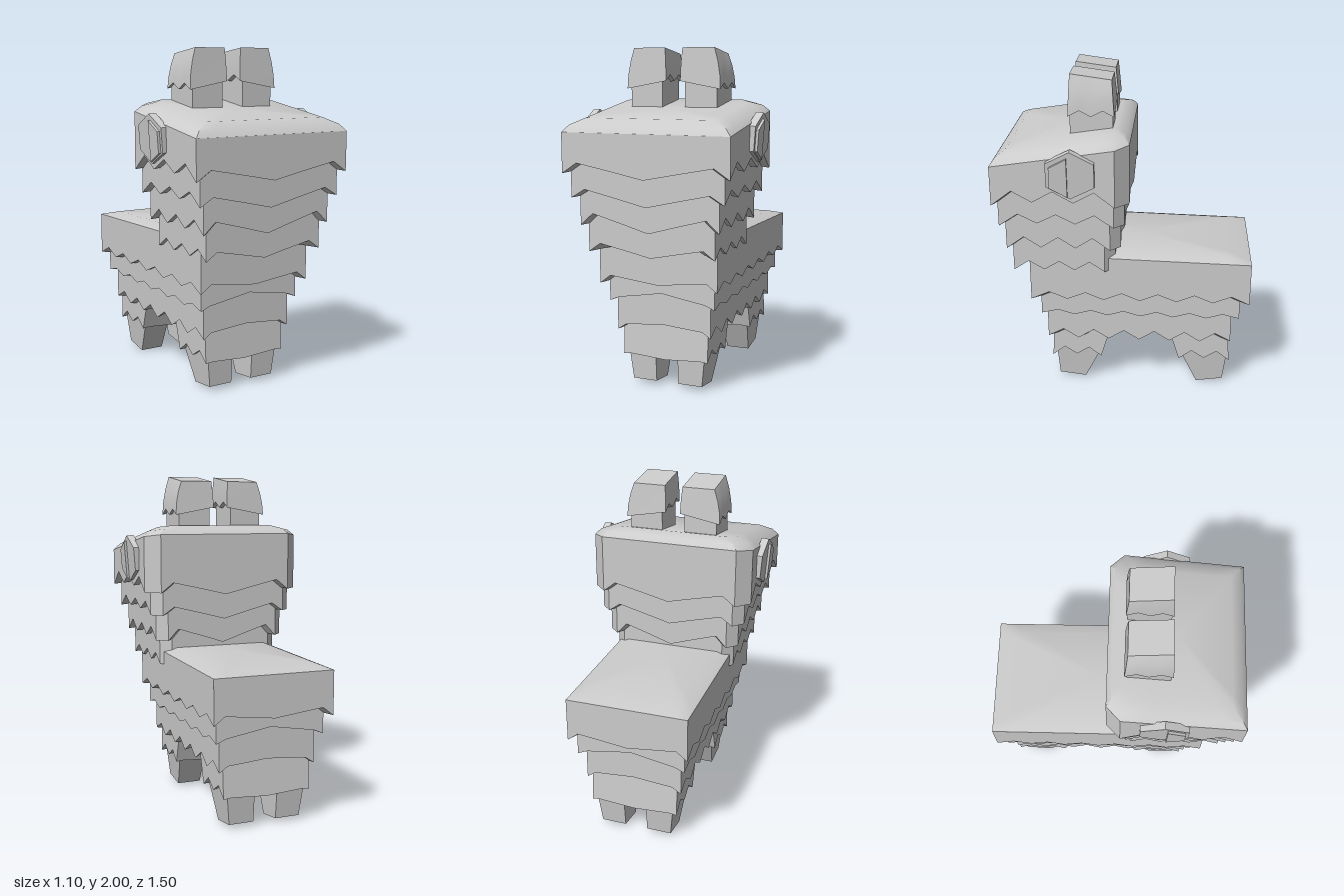
import * as THREE from 'three';
import { toCreasedNormals } from 'three/addons/utils/BufferGeometryUtils.js';

const material = new THREE.MeshStandardMaterial({ color: 0xcccccc });

function addMesh(parent, name, geometry) {
  const mesh = new THREE.Mesh(geometry, material);
  mesh.name = name;
  parent.add(mesh);
  return mesh;
}

// Box whose vertices are moved by rule(u, v, s), each running 0..1 along x, y, z.
function shapedBox(rule, sx = 1, sy = 1, sz = 1) {
  const g = new THREE.BoxGeometry(1, 1, 1, sx, sy, sz);
  const p = g.attributes.position;
  for (let i = 0; i < p.count; i++) {
    p.setXYZ(i, ...rule(p.getX(i) + 0.5, p.getY(i) + 0.5, p.getZ(i) + 0.5));
  }
  return toCreasedNormals(g, 0.5);
}

const lerp = THREE.MathUtils.lerp;

// One paper fringe: a boxy shell with a wavy front and back hem and zigzag side hems.
function fringe({ w, z, bottomZ = z, top, hem, side, n, chamfer = 0, crown = 0, rings = [] }) {
  const [zf, zb] = z;
  const [corner, peak, middle] = hem;
  const [low, high] = side;
  const loop = [];
  const add = (x, pz, y) => loop.push([x, y, pz]);
  const across = [[-1, corner], [-0.82, peak], [-0.4, (peak + middle) / 2], [0, middle],
    [0.4, (peak + middle) / 2], [0.82, peak], [1, corner]];

  across.forEach(([t, y]) => add(t * w, zf, y));
  for (let i = 1; i < n; i++) add(w, lerp(zf, zb + chamfer, i / n), i % 2 ? high : low);
  if (chamfer) add(w, zb + chamfer, corner);
  across.forEach(([t, y]) => add(-t * (w - chamfer), zb, y));
  if (chamfer) add(-w, zb + chamfer, corner);
  for (let i = n - 1; i > 0; i--) add(-w, lerp(zf, zb + chamfer, i / n), i % 2 ? high : low);

  // stacked loops: hem, rim, then the inset rings of the crown
  const cz = (zf + zb) / 2;
  const remap = (pz) => lerp(bottomZ[0], bottomZ[1], (pz - zf) / (zb - zf));
  const layers = [loop.map(([x, y, pz]) => [x, y, remap(pz)])];
  [[1, 0], ...rings].forEach(([s, f]) => layers.push(loop.map(([x, , pz]) => {
    const rz = cz + (pz - cz) * s;
    return [x * s, top(rz) + crown * f, rz];
  })));

  const out = [];
  const tri = (...pts) => pts.forEach((p) => out.push(...p));
  const m = loop.length;
  const last = layers[layers.length - 1];
  const roof = [0, top(cz) + crown, cz];
  const floor = [0, Math.max(...hem, high) + 0.01, (bottomZ[0] + bottomZ[1]) / 2];
  for (let i = 0; i < m; i++) {
    const j = (i + 1) % m;
    for (let k = 0; k + 1 < layers.length; k++) {
      const a = layers[k], b = layers[k + 1];
      tri(a[i], a[j], b[j]);
      tri(a[i], b[j], b[i]);
    }
    tri(last[i], last[j], roof);
    tri(layers[0][j], layers[0][i], floor);
  }
  const g = new THREE.BufferGeometry();
  g.setAttribute('position', new THREE.Float32BufferAttribute(out, 3));
  return toCreasedNormals(g, 0.6);
}

function hexPlate(points, depth) {
  const shape = new THREE.Shape(points.map(([a, b]) => new THREE.Vector2(a, b)));
  return new THREE.ExtrudeGeometry(shape, { depth, bevelEnabled: false });
}

export function createModel() {
  const model = new THREE.Group();
  model.name = 'paperLlama';

  // head with a softly rounded, sloping crown
  addMesh(model, 'head', fringe({
    w: 0.5, z: [0.75, -0.03], top: (z) => 1.53 + (0.75 - z) * 0.152, hem: [1.3, 1.36, 1.28],
    side: [1.325, 1.39], n: 6, chamfer: 0.08, crown: 0.065, rings: [[0.93, 0.55], [0.78, 1]],
  }));

  // neck fringes
  [
    { w: 0.46, z: [0.72, 0], top: 1.45, hem: [1.16, 1.21, 1.125], side: [1.18, 1.235] },
    { w: 0.42, z: [0.69, 0.025], top: 1.3, hem: [1.0, 1.07, 0.975], side: [1.01, 1.075] },
    { w: 0.385, z: [0.66, 0.06], top: 1.15, hem: [0.845, 0.895, 0.83], side: [0.85, 0.905] },
  ].forEach((t, i) => addMesh(model, `neckFringe${i + 1}`,
    fringe({ ...t, top: () => t.top, n: 6, chamfer: 0.06 })));

  // body fringes
  addMesh(model, 'back', fringe({
    w: 0.365, z: [0.57, -0.745], top: (z) => 0.902 + (z + 0.745) * 0.025, hem: [0.64, 0.69, 0.655],
    side: [0.645, 0.69], n: 12, crown: 0.028, rings: [[0.8, 1]],
  }));
  [
    { w: 0.33, z: [0.515, -0.69], top: 0.75, hem: [0.525, 0.55, 0.595], side: [0.52, 0.55] },
    { w: 0.295, z: [0.485, -0.645], top: 0.62, hem: [0.345, 0.38, 0.4], side: [0.335, 0.395] },
  ].forEach((t, i) => addMesh(model, `bodyFringe${i + 1}`,
    fringe({ ...t, top: () => t.top, n: 12 })));

  // leg wraps spanning each pair of feet
  [
    { name: 'frontLegWrap', z: [0.45, 0.08], bottomZ: [0.465, 0.16] },
    { name: 'backLegWrap', z: [-0.25, -0.625], bottomZ: [-0.33, -0.645] },
  ].forEach((t) => addMesh(model, t.name, fringe({
    ...t, w: 0.268, top: () => 0.45, hem: [0.19, 0.195, 0.18], side: [0.2, 0.25], n: 4,
  })));

  // tapered feet: [top z range], [bottom z range], [bottom y at rear and front]
  const feet = [
    ['frontFoot', [0.15, 0.445], [0.265, 0.43], [0.01, 0.03]],
    ['backFoot', [-0.635, -0.33], [-0.61, -0.445], [0.025, 0]],
  ];
  for (const m of [1, -1]) {
    const sideName = m > 0 ? 'Left' : 'Right';
    const mirrorX = (u) => (m > 0 ? u : 1 - u);
    for (const [name, tz, bz, by] of feet) {
      addMesh(model, name + sideName, shapedBox((u, v, s) => [
        m * lerp(0.07, lerp(0.22, 0.245, v), mirrorX(u)),
        lerp(lerp(by[0], by[1], s), 0.25, v),
        lerp(lerp(bz[0], bz[1], s), lerp(tz[0], tz[1], s), v),
      ]));
    }

    // ear: plain stem with a fringed tip
    const ear = new THREE.Group();
    ear.name = 'ear' + sideName;
    model.add(ear);
    addMesh(ear, 'earStem', shapedBox((u, v, s) => [
      m * lerp(0.07, 0.268, mirrorX(u)), lerp(1.6, 1.85, v), lerp(0.075, 0.32, s),
    ]));
    addMesh(ear, 'earTip', shapedBox((u, v, s) => {
      const k = mirrorX(u);
      const zig = Math.round(s * 4) % 2 ? 0.03 : -0.005;
      return [
        m * lerp(0.045 + 0.01 * v * v, 0.29 - 0.04 * v * v, k),
        lerp(1.815 - 0.045 * k + zig, 1.968 + 0.032 * s, v),
        lerp(lerp(0.065, 0.08, v), lerp(0.33, 0.318, v), s),
      ];
    }, 1, 3, 4));

    // eye: hexagonal plate with a half-hexagon pupil, leaning out at the top
    const eye = new THREE.Group();
    eye.name = 'eye' + sideName;
    const plate = [[0, 0.14], [-0.135, 0.07], [-0.135, -0.07], [0, -0.14], [0.135, -0.07], [0.135, 0.07]];
    const pupil = [[0.015, 0.105], [0.015, -0.125], [0.115, -0.07], [0.115, 0.05]];
    // the plates are drawn in a plane facing +z, then turned to face sideways
    const turn = (pts) => pts.map(([a, b]) => [-m * a, b]);
    addMesh(eye, 'eyePlate', hexPlate(turn(m > 0 ? plate : [...plate].reverse()), 0.045));
    addMesh(eye, 'pupil', hexPlate(turn(m > 0 ? pupil : [...pupil].reverse()), 0.06));
    eye.rotation.order = 'YXZ';
    eye.rotation.set(-0.07 * -1, m * Math.PI / 2, 0);
    eye.position.set(m * 0.483, 1.5, 0.295);
    model.add(eye);
  }
  return model;
}
